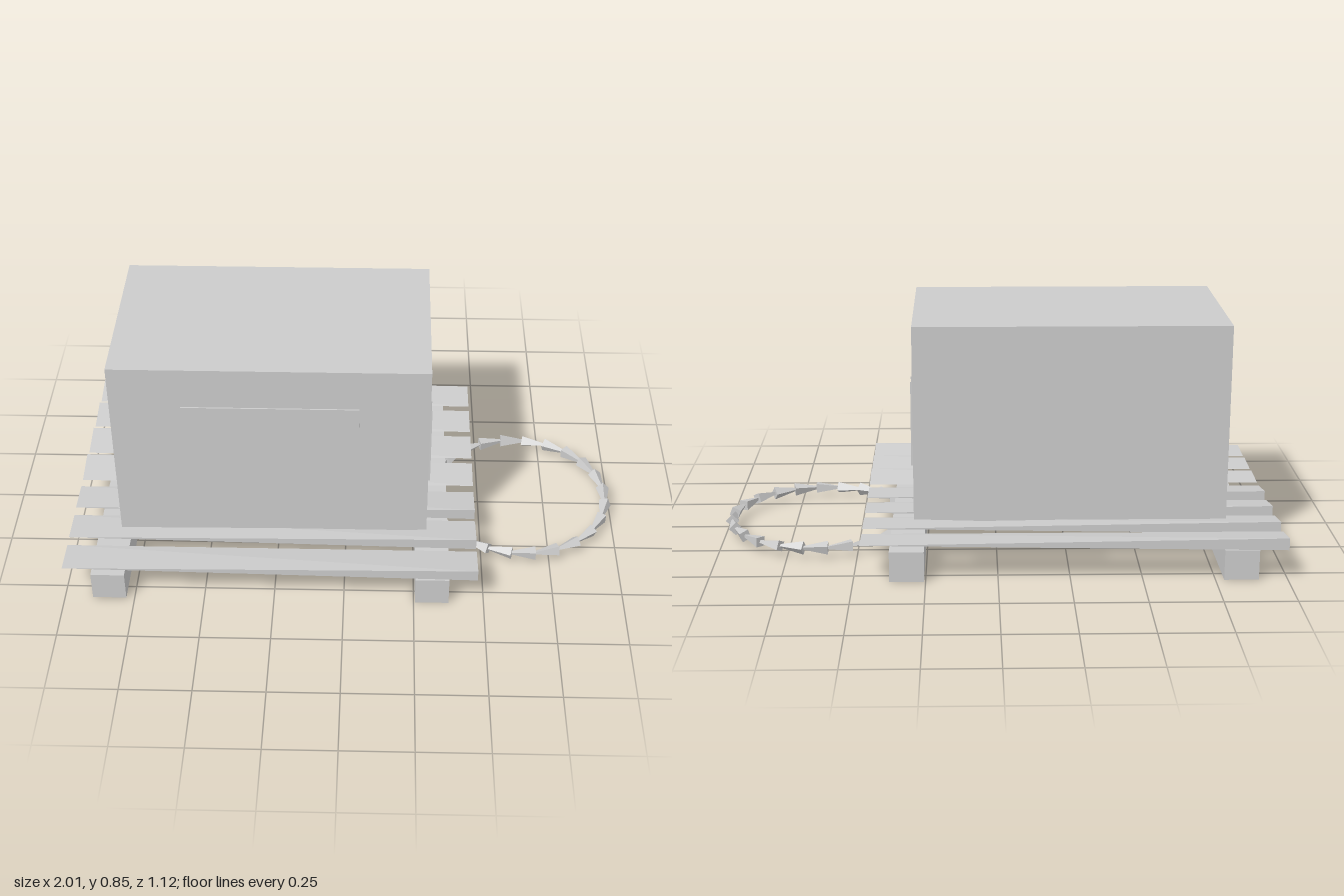
import * as THREE from 'three';

const material = new THREE.MeshStandardMaterial({ color: 0xcccccc, flatShading: true, side: THREE.DoubleSide });

function add(parent, name, geometry, x = 0, y = 0, z = 0) {
  const mesh = new THREE.Mesh(geometry, material);
  mesh.name = name;
  mesh.position.set(x, y, z);
  parent.add(mesh);
  return mesh;
}

// Tapering wedge board: full-height outer edge at one end, thin at the other.
function slatGeometry(outer, inner, thickX, thinX) {
  const g = new THREE.BufferGeometry();
  g.setAttribute('position', new THREE.Float32BufferAttribute([
    thickX, 0.109, outer, thickX, 0.152, outer, thickX, 0.13, inner,
    thinX, 0.135, outer, thinX, 0.13, inner,
  ], 3));
  const index = [0, 1, 2, 0, 3, 1, 1, 3, 4, 1, 4, 2, 0, 2, 4, 0, 4, 3];
  // Keep faces outward when the board is mirrored
  if ((outer - inner) * (thickX - thinX) > 0) {
    for (let i = 0; i < index.length; i += 3) [index[i + 1], index[i + 2]] = [index[i + 2], index[i + 1]];
  }
  g.setIndex(index);
  g.computeVertexNormals();
  return g;
}

export function createModel() {
  const model = new THREE.Group();
  model.name = 'crateOnPallet';

  // Pallet bearers
  const pallet = new THREE.Group();
  pallet.name = 'pallet';
  model.add(pallet);
  for (const x of [-0.84, 0.315]) add(pallet, 'bearer', new THREE.BoxGeometry(0.12, 0.108, 1.114), x, 0.054, 0);

  // Pallet slats
  for (let i = 0; i < 7; i++) {
    const z = -0.497 + i * 0.1645;
    const side = z > 0.1 ? 1 : -1;
    const thick = side > 0 ? 0.475 : -1;
    const thin = side > 0 ? -1 : 0.475;
    add(pallet, 'slat', slatGeometry(z + side * 0.064, z - side * 0.064, thick, thin));
  }

  // Housing, its underside slightly lower at the far end
  const body = new THREE.BoxGeometry(1.11, 0.735, 0.658);
  const p = body.attributes.position;
  for (let i = 0; i < p.count; i++) {
    if (p.getY(i) < 0 && p.getX(i) > 0) p.setY(i, p.getY(i) + 0.035);
  }
  body.computeVertexNormals();
  add(model, 'housing', body, -0.26, 0.4775, 0);

  // Front panel, standing just off the housing
  add(model, 'frontPanel', new THREE.BoxGeometry(0.615, 0.327, 0.005), -0.258, 0.538, 0.346);

  // Tapered vent slots on the side, two of them inverted
  const vents = new THREE.Group();
  vents.name = 'vents';
  model.add(vents);
  const tri = new THREE.Shape([
    new THREE.Vector2(-0.014, -0.152), new THREE.Vector2(0.014, -0.152), new THREE.Vector2(0, 0.152),
  ]);
  const ventGeometry = new THREE.ExtrudeGeometry(tri, { depth: 0.012, bevelEnabled: false });
  for (let i = 0; i < 8; i++) {
    const vent = add(vents, 'vent', ventGeometry, 0.292, 0.475, 0.249 - i * 0.0703);
    vent.rotation.y = Math.PI / 2;
    if (i === 1 || i === 4) vent.scale.set(-1, -1, 1);
  }

  // Coiled cable lying on the ground, made of faceted tapering links
  const cable = new THREE.Group();
  cable.name = 'cable';
  model.add(cable);
  const links = 24, radius = 0.33;
  const link = new THREE.CylinderGeometry(0.005, 0.025, 0.096, 4);
  const up = new THREE.Vector3(0, 1, 0);
  for (let i = 0; i < links; i++) {
    const a = (i / links) * Math.PI * 2;
    const mesh = add(cable, 'cableLink', link, 0.65 + radius * Math.cos(a), 0.04, radius * Math.sin(a));
    mesh.quaternion.setFromUnitVectors(up, new THREE.Vector3(-Math.sin(a), 0, Math.cos(a)));
    mesh.rotateY(i * 0.9);
  }
  return model;
}
